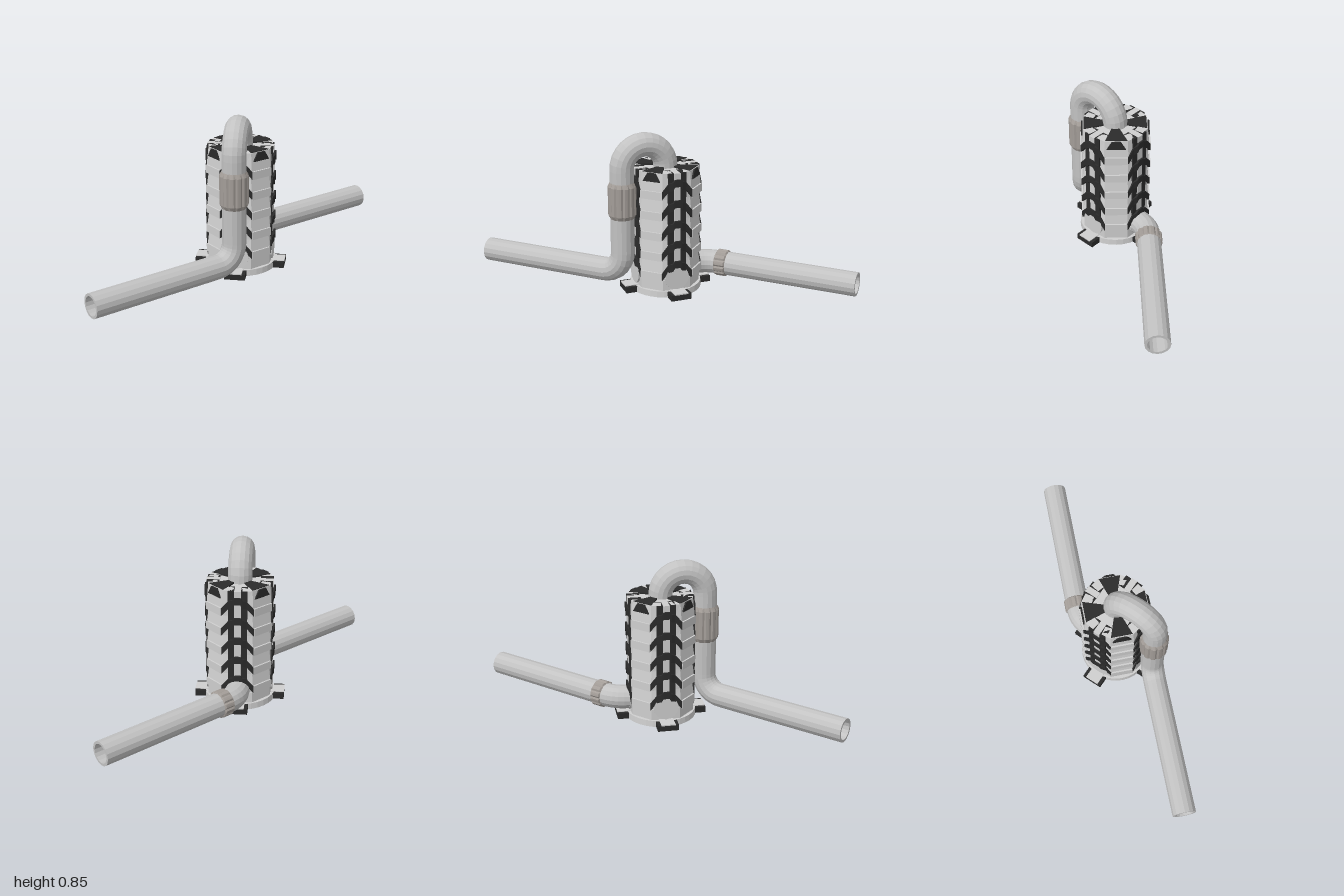
import * as THREE from 'three';

const mat = (name, color, side = THREE.FrontSide) =>
  new THREE.MeshStandardMaterial({ name, color, side, flatShading: true });

// Curved bar round the vertical axis; sections are [degrees, yBottom, yTop, rBottom, rTop]
function wrapBar(sections, rIn) {
  const pos = [], idx = [];
  for (const [deg, y0, y1, r0, r1] of sections) {
    const a = THREE.MathUtils.degToRad(deg), s = Math.sin(a), c = Math.cos(a);
    for (const [r, y] of [[rIn, y0], [r0, y0], [r1, y1], [rIn, y1]]) pos.push(r * s, y, r * c);
  }
  const n = sections.length;
  for (let i = 0; i < n - 1; i++)
    for (let k = 0; k < 4; k++) {
      const a = i * 4 + k, d = i * 4 + (k + 1) % 4;
      idx.push(a, a + 4, d + 4, a, d + 4, d);
    }
  const e = (n - 1) * 4;
  idx.push(0, 1, 2, 0, 2, 3, e, e + 2, e + 1, e, e + 3, e + 2);
  const g = new THREE.BufferGeometry();
  g.setAttribute('position', new THREE.Float32BufferAttribute(pos, 3));
  g.setIndex(idx);
  const flat = g.toNonIndexed();
  flat.computeVertexNormals();
  return flat;
}

// Mirrors half a list of sections about angle 0
const mirrored = half => [...half.map(([d, ...rest]) => [-d, ...rest]).reverse(), ...half];

export function createModel() {
  const light = mat('light panel grey', 0xcfcfcf);
  const pipeGrey = mat('pipe grey', 0xc2c2c2, THREE.DoubleSide);
  const dark = mat('dark trim', 0x2b2b2b);
  const bandGrey = mat('warm grey band', 0xa39d98, THREE.DoubleSide);
  const model = new THREE.Group();

  function add(parent, name, geo, material, x = 0, y = 0, z = 0) {
    const m = new THREE.Mesh(geo, material);
    m.name = name;
    m.position.set(x, y, z);
    parent.add(m);
    return m;
  }

  const TOP = 0.667, TIERS = 5, STEP = 0.11;

  // Core and base disc
  add(model, 'core', new THREE.CylinderGeometry(0.15, 0.15, TOP - 0.01, 32), light, 0, TOP / 2, 0);
  add(model, 'baseDisc', new THREE.CylinderGeometry(0.188, 0.19, 0.033, 32), light, 0, 0.0165, 0);

  // Four sides of overlapping panels
  for (let q = 0; q < 4; q++) {
    const side = new THREE.Group();
    side.name = 'panelSide';
    side.rotation.y = q * Math.PI / 2;
    model.add(side);
    for (let t = 0; t < TIERS; t++) {
      const y = 0.53 - t * STEP, yTop = t ? y + STEP : TOP;
      add(side, 'panel', wrapBar(mirrored([
        [19.5, y + 0.04, yTop, 0.184, 0.174], [36, y + 0.04, yTop, 0.172, 0.166]]), 0.12), light);
      add(side, 'panelLip', wrapBar(mirrored([[18.2, y, y + 0.043, 0.191, 0.191]]), 0.12), light);
      add(side, 'panelBack', wrapBar(mirrored([
        [20, y, y + 0.04, 0.176, 0.178], [36, y, y + 0.04, 0.165, 0.165]]), 0.12), light);
    }
    add(side, 'skirt', wrapBar(mirrored([
      [20, 0.03, 0.092, 0.18, 0.18], [38, 0.03, 0.092, 0.168, 0.168]]), 0.12), light);

    // Dark wedge on the rim, folded down over the panel
    add(side, 'topWedge', wrapBar(mirrored([[19, 0.655, TOP + 0.003, 0.17, 0.17]]), 0.045), dark);
    const fold = new THREE.Shape([[-0.048, 0], [0.048, 0], [0.022, 0.045], [-0.022, 0.045]]
      .map(p => new THREE.Vector2(...p)));
    add(side, 'wedgeFold', new THREE.ExtrudeGeometry(fold, { depth: 0.008, bevelEnabled: false }),
      dark, 0, 0.622, 0.167);
  }

  // Ribbed channels, ports and feet on the four diagonals
  for (let q = 0; q < 4; q++) {
    const corner = new THREE.Group();
    corner.name = 'channelCorner';
    corner.rotation.y = Math.PI / 4 + q * Math.PI / 2;
    model.add(corner);
    const h = TOP - 0.16, yMid = 0.16 + h / 2;
    for (const s of [-1, 1])
      add(corner, 'channelRail', new THREE.BoxGeometry(0.032, h, 0.065), dark, s * 0.033, yMid, 0.138);
    add(corner, 'channelStrip', new THREE.BoxGeometry(0.034, h, 0.07), light, 0, yMid, 0.139);

    for (let t = 0; t < TIERS; t++) {
      const d = -t * STEP;
      const rib = [[5, 0.597, 0.635, 0.184], [8, 0.58, 0.622, 0.184],
        [15, 0.575, 0.617, 0.181], [26, 0.532, 0.573, 0.19]];
      add(corner, 'rib', wrapBar(mirrored(rib.map(([a, y0, y1, r]) =>
        [a, y0 + d, y1 + d, r, r])), 0.15), dark);
    }

    const port = add(corner, 'port', new THREE.CylinderGeometry(0.065, 0.065, 0.075, 16), light, 0, 0.101, 0.137);
    port.rotation.x = Math.PI / 2;

    // Foot: dark plate with a light tread on top
    add(corner, 'foot', new THREE.BoxGeometry(0.11, 0.032, 0.1), dark, 0, 0.016, 0.188);
    add(corner, 'footTread', new THREE.BoxGeometry(0.075, 0.006, 0.078), light, 0, 0.033, 0.2);
  }

  // Pipes
  const V = (x, y, z) => new THREE.Vector3(x, y, z);
  const P = 0.168, PY = 0.103, R = 0.063, K = 0.5523;
  function addPipe(name, curves, steps) {
    const path = new THREE.CurvePath();
    curves.forEach(c => path.add(c));
    const g = new THREE.Group();
    g.name = name;
    model.add(g);
    add(g, 'pipeOuter', new THREE.TubeGeometry(path, steps, R, 16), pipeGrey);
    add(g, 'pipeBore', new THREE.TubeGeometry(path, steps, 0.05, 16), pipeGrey);
    const end = path.getPoint(0);
    add(g, 'pipeRim', new THREE.RingGeometry(0.05, R, 16), pipeGrey, end.x, end.y, end.z);
  }

  const half = P / 2, rise = half * Math.SQRT2, peak = TOP + rise;
  addPipe('tallPipe', [
    new THREE.LineCurve3(V(P, PY, 1), V(P, PY, 0.275)),
    new THREE.CubicBezierCurve3(V(P, PY, 0.275), V(P, PY, 0.215), V(P, PY + 0.05, P), V(P, PY + 0.11, P)),
    new THREE.LineCurve3(V(P, PY + 0.11, P), V(P, TOP, P)),
    new THREE.CubicBezierCurve3(V(P, TOP, P), V(P, TOP + rise * K, P),
      V(half * (1 + K), peak, half * (1 + K)), V(half, peak, half)),
    new THREE.CubicBezierCurve3(V(half, peak, half), V(half * (1 - K), peak, half * (1 - K)),
      V(0, TOP + rise * K, 0), V(0, TOP, 0)),
    new THREE.LineCurve3(V(0, TOP, 0), V(0, TOP - 0.03, 0)),
  ], 64);
  addPipe('lowPipe', [
    new THREE.LineCurve3(V(-P, PY, -1), V(-P, PY, -0.235)),
    new THREE.QuadraticBezierCurve3(V(-P, PY, -0.235), V(-P, PY, -P), V(-0.12, PY, -0.12)),
    new THREE.LineCurve3(V(-0.12, PY, -0.12), V(-0.07, PY, -0.07)),
  ], 40);

  // Fluted bands round the pipes
  function fluted(length, r, taper) {
    const h = length / 2;
    const g = new THREE.LatheGeometry([[R - 0.001, -h], [r, -h + taper], [r, h - taper], [R - 0.001, h]]
      .map(p => new THREE.Vector2(...p)), 48);
    const p = g.attributes.position;
    for (let i = 0; i < p.count; i++) {
      const x = p.getX(i), z = p.getZ(i), rad = Math.hypot(x, z);
      const step = Math.round(Math.atan2(z, x) / (Math.PI / 24)) + 48;
      const k = rad > R && step % 4 === 0 ? (rad - 0.006) / rad : 1;
      p.setXYZ(i, x * k, p.getY(i), z * k);
    }
    g.computeVertexNormals();
    return g;
  }
  add(model, 'tallPipeBand', fluted(0.195, 0.074, 0.022), bandGrey, P, 0.502, P);
  add(model, 'lowPipeBand', fluted(0.064, 0.071, 0.006), bandGrey, -P, PY, -0.264).rotation.x = Math.PI / 2;

  return model;
}
